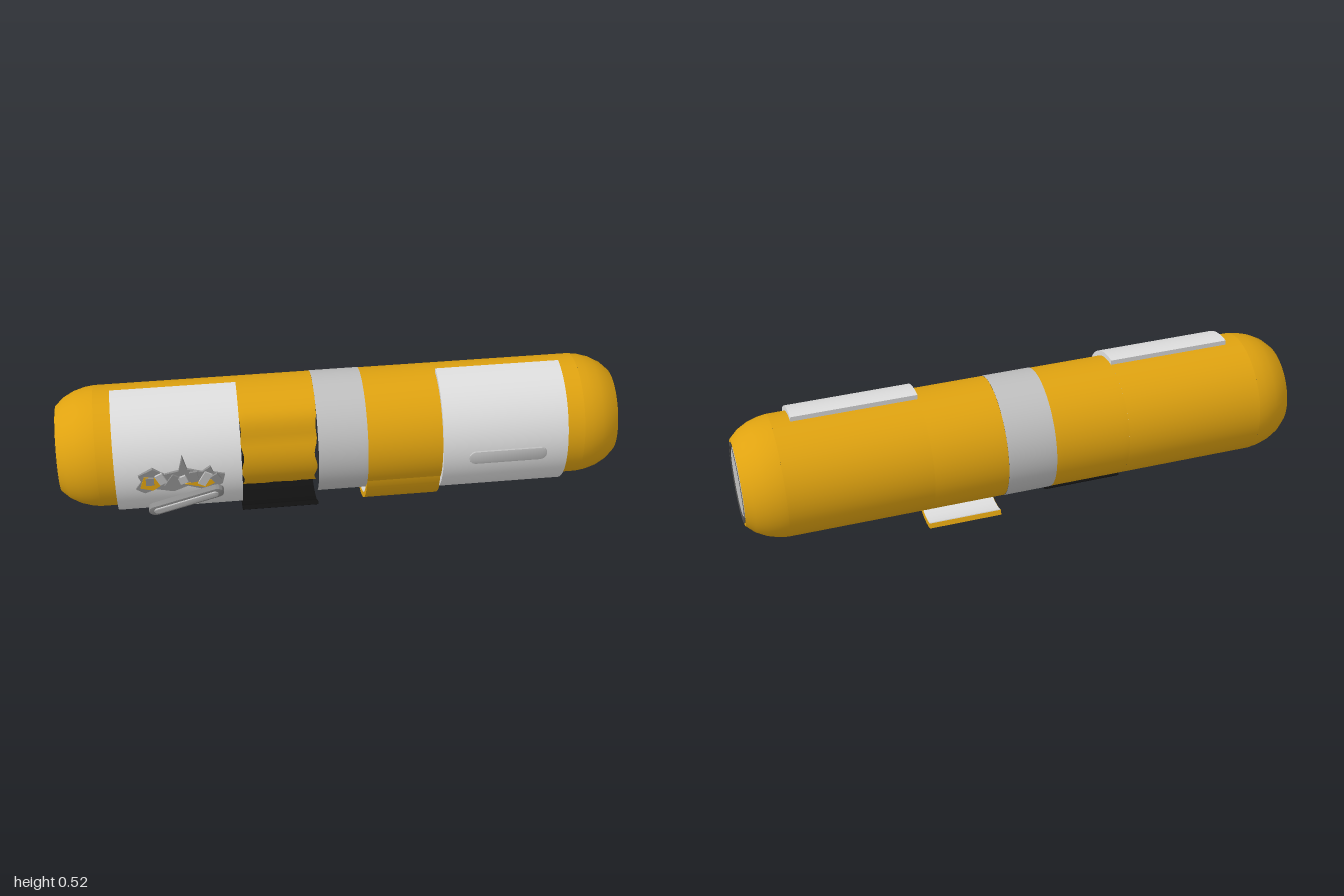
import * as THREE from 'three';
import { toCreasedNormals } from 'three/addons/utils/BufferGeometryUtils.js';

const CY = 0.293, CZ = -0.028, R = 0.216;
const rad = THREE.MathUtils.degToRad;

export function createModel() {
  const root = new THREE.Group();
  const mat = (name, color) => {
    const m = new THREE.MeshStandardMaterial({ color });
    m.name = name;
    return m;
  };
  const yellow = mat('yellow', 0xe0a310);
  const white = mat('white', 0xdedede);
  const silver = mat('silver', 0xc0c0c0);
  const steel = mat('steel', 0x8c8c8c);
  const dark = mat('dark grey', 0x4a4a4a);
  const black = mat('black', 0x111111);
  const red = mat('red', 0xc01018);

  const add = (name, geo, material, parent = root) => {
    const m = new THREE.Mesh(geo, material);
    m.name = name;
    parent.add(m);
    return m;
  };

  // Outward-facing skin around the x axis; angle 0 is the front, 90 the top
  const skin = (x0, x1, a0, a1, rule) => {
    const g = new THREE.PlaneGeometry(1, 1, rule ? 12 : 1, Math.ceil((a1 - a0) / 6));
    const p = g.attributes.position;
    for (let i = 0; i < p.count; i++) {
      const u = p.getX(i) + 0.5, v = p.getY(i) + 0.5;
      const q = { x: x0 + (x1 - x0) * u, a: a0 + (a1 - a0) * v, r: R };
      if (rule) rule(q, u, v);
      p.setXYZ(i, q.x, CY + q.r * Math.sin(rad(q.a)), CZ + q.r * Math.cos(rad(q.a)));
    }
    g.computeVertexNormals();
    return toCreasedNormals(g, 0.5);
  };

  // Solid curved plate between two radii
  const plate = (x0, x1, a0, a1, r0, r1, cz = CZ, cy = CY) => {
    const s = new THREE.Shape();
    s.absarc(0, 0, r1, rad(a0), rad(a1), false);
    s.absarc(0, 0, r0, rad(a1), rad(a0), true);
    const g = new THREE.ExtrudeGeometry(s, { depth: x1 - x0, bevelEnabled: false, curveSegments: 24 });
    g.rotateY(-Math.PI / 2).translate(x1, cy, cz);
    return toCreasedNormals(g, 0.5);
  };

  // Main tube, with an opening below on each side of the band
  add('bodyRight', skin(-0.86, -0.36, -180, 180), yellow);
  add('bodyLeft', skin(0.35, 0.86, -180, 180), yellow);
  add('bodyOverHatch', skin(0.085, 0.35, -28, 227), yellow);
  add('centreBand', skin(-0.09, 0.085, -180, 180, (q) => { q.r = R + 0.001; }), silver);

  // Dented section with a torn lower edge
  add('dentedBody', skin(-0.36, -0.09, -43, 236, (q, u, v) => {
    const dent = 1 - THREE.MathUtils.smoothstep(q.a, 24, 58);
    q.r = R - 0.038 * dent;
    const wave = Math.sin(q.a * 0.17) * 0.005 + 0.006;
    q.x += dent * wave * (1 - 2 * u);
    if (v < 0.02) q.a += 2.5 * Math.sin(u * 17);
  }), yellow);

  // End caps
  const lathe = (pts, segments = 48) => {
    const g = new THREE.LatheGeometry(pts.map(([r, x]) => new THREE.Vector2(r, x)), segments);
    return toCreasedNormals(g.rotateZ(-Math.PI / 2), 0.45);
  };
  for (const side of [1, -1]) {
    const end = new THREE.Group();
    end.name = side > 0 ? 'leftEnd' : 'rightEnd';
    end.position.set(0, CY, CZ);
    if (side < 0) end.rotation.y = Math.PI;
    root.add(end);
    add('dome', lathe([[R, 0.86], [0.212, 0.89], [0.2, 0.93], [0.18, 0.967], [0.152, 0.997], [0.143, 0.997]]), yellow, end);
    add('gasket', lathe([[0.143, 0.999], [0.139, 1], [0.131, 1], [0.131, 0.985]]), dark, end);
    if (side > 0) {
      add('endDisc', lathe([[0.132, 0.988], [0.118, 0.997], [0, 0.997]]), silver, end);
    } else {
      add('endRing', lathe([[0.132, 0.988], [0.122, 0.997], [0.092, 0.997]]), silver, end);
      add('redRing', lathe([[0.092, 0.997], [0.052, 0.997]]), red, end);
      add('endButton', lathe([[0.052, 0.995], [0.05, 1], [0, 1]]), silver, end);
    }
  }

  // Half-round front covers
  add('rightCover', plate(-0.8, -0.36, -90, 90, 0.214, 0.234), white);
  add('leftCover', plate(0.35, 0.795, -90, 90, 0.214, 0.234), white);

  // Open yellow hatch with a pale lining and the box behind it
  add('hatch', plate(0.085, 0.352, -113, -8, 0.2, 0.218, -0.06, 0.22), yellow);
  add('hatchLining', plate(0.087, 0.35, -112.5, -9, 0.197, 0.2, -0.06, 0.22), white);
  add('innerBox', new THREE.BoxGeometry(0.264, 0.19, 0.2).translate(0.218, 0.235, CZ + 0.02), white);

  // Open black hatch with small marks on its inner face
  add('blackHatch', plate(-0.36, -0.09, -138, -46, 0.2, 0.215, 0.005, 0.252), black);
  for (const [x, a, w] of [[-0.245, -126, 0.012], [-0.228, -128, 0.02], [-0.22, -124, 0.01], [-0.31, -127, 0.006]]) {
    add('hatchMark', plate(x, x + w, a - 1.5, a + 1.5, 0.197, 0.2, 0.005, 0.252), yellow);
  }

  // Rounded bars
  const bar = (length, width, depth) => {
    const r = width / 2, h = length / 2 - r, s = new THREE.Shape();
    s.absarc(h, 0, r, -Math.PI / 2, Math.PI / 2, false);
    s.absarc(-h, 0, r, Math.PI / 2, Math.PI * 1.5, false);
    const g = new THREE.ExtrudeGeometry(s, {
      depth, curveSegments: 10, bevelSize: 0.003, bevelThickness: 0.003, bevelSegments: 2, bevelOffset: -0.003,
    });
    return toCreasedNormals(g, 0.6);
  };
  add('coverGrip', bar(0.28, 0.052, 0.012), silver).position.set(0.58, 0.296, 0.196);

  // Bent lever hanging off the right cover
  const lever = new THREE.Group();
  lever.name = 'lever';
  lever.position.set(-0.56, 0.217, 0.212);
  lever.rotation.set(0.28, 0, 0.36);
  root.add(lever);
  add('leverBar', bar(0.28, 0.05, 0.016), steel, lever);
  add('leverInset', bar(0.24, 0.028, 0.004), silver, lever).position.z = 0.017;

  // Torn latch above the lever
  const jagged = (pts, depth) => new THREE.ExtrudeGeometry(
    new THREE.Shape(pts.map(([x, y]) => new THREE.Vector2(x, y))), { depth, bevelEnabled: false });
  add('tornLatch', jagged([
    [-0.73, 0.27], [-0.7, 0.25], [-0.66, 0.265], [-0.6, 0.25], [-0.55, 0.27], [-0.48, 0.245], [-0.43, 0.27],
    [-0.42, 0.31], [-0.46, 0.32], [-0.47, 0.345], [-0.5, 0.325], [-0.55, 0.34], [-0.565, 0.388], [-0.58, 0.335],
    [-0.63, 0.325], [-0.67, 0.35], [-0.72, 0.325], [-0.71, 0.3],
  ], 0.024), steel).position.z = 0.188;
  add('exposedPaint', jagged([
    [-0.715, 0.275], [-0.67, 0.262], [-0.645, 0.28], [-0.66, 0.315], [-0.7, 0.32],
  ], 0.005), yellow).position.z = 0.21;
  add('exposedPaint', jagged([
    [-0.56, 0.28], [-0.49, 0.26], [-0.44, 0.285], [-0.5, 0.295],
  ], 0.005), yellow).position.z = 0.21;
  for (let i = 0; i < 7; i++) {
    const tooth = add('latchTooth', new THREE.BoxGeometry(0.028, 0.03 + 0.012 * (i % 3), 0.01), i % 2 ? silver : steel);
    tooth.position.set(-0.68 + i * 0.038, 0.303 + 0.008 * Math.sin(i * 2), 0.215);
    tooth.rotation.z = 0.6 * Math.sin(i * 2.3);
  }
  return root;
}
